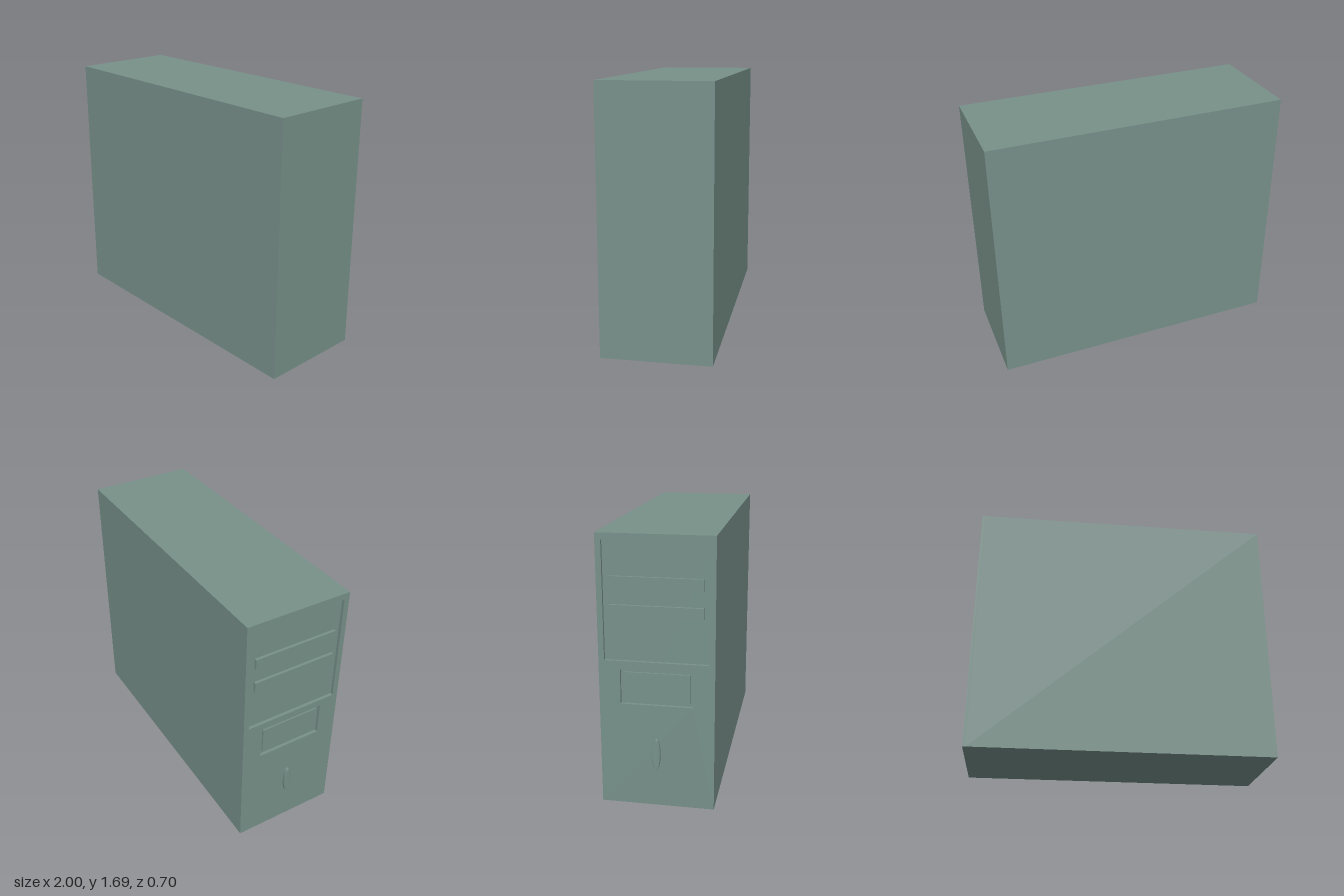
import * as THREE from 'three';

const FLOOR_X = -0.96; // floor of the recesses in the fascia
const FACE_X = -0.98;  // outer surface of the fascia

// Rectangular outline in fascia coordinates (u = z, v = y)
function rect(PathType, u0, u1, v0, v1) {
  const p = new PathType();
  p.moveTo(u0, v0);
  p.lineTo(u1, v0);
  p.lineTo(u1, v1);
  p.lineTo(u0, v1);
  p.closePath();
  return p;
}

export function createModel() {
  const model = new THREE.Group();
  model.name = 'computerTower';
  const casing = new THREE.MeshStandardMaterial({ color: 0x78918a });
  casing.name = 'grey green casing';

  const add = (parent, name, geometry, x, y, z) => {
    const mesh = new THREE.Mesh(geometry, casing);
    mesh.name = name;
    mesh.position.set(x, y, z);
    parent.add(mesh);
    return mesh;
  };

  // Main case behind the fascia
  add(model, 'caseBody', new THREE.BoxGeometry(1 - FLOOR_X, 1.69, 0.7), (1 + FLOOR_X) / 2, 0.845, 0);

  // Fascia group: local x runs along z, local z points outward along -x
  const fascia = new THREE.Group();
  fascia.name = 'fascia';
  fascia.rotation.y = -Math.PI / 2;
  fascia.position.x = FLOOR_X;
  model.add(fascia);

  // Fascia plate with two recessed bays
  const depth = FLOOR_X - FACE_X;
  const plate = rect(THREE.Shape, -0.35, 0.35, 0, 1.69);
  plate.holes.push(
    rect(THREE.Path, -0.315, 0.315, 0.93, 1.65),
    rect(THREE.Path, -0.22, 0.22, 0.66, 0.88),
  );
  add(fascia, 'fasciaPlate', new THREE.ExtrudeGeometry(plate, { depth, bevelEnabled: false }), 0, 0, 0);

  // Two optical drive fronts in the upper bay
  for (const y of [1.405, 1.235]) {
    add(fascia, 'driveFront', new THREE.BoxGeometry(0.56, 0.07, 0.018), 0, y, 0.009);
  }

  // Panel in the lower bay
  add(fascia, 'lowerBayPanel', new THREE.BoxGeometry(0.4, 0.18, 0.012), 0, 0.77, 0.006);

  // Tall oval power button with a softened rim
  const oval = new THREE.Shape();
  oval.absellipse(0, 0, 0.02, 0.096, 0, Math.PI * 2);
  const button = new THREE.ExtrudeGeometry(oval, {
    depth: 0.016, curveSegments: 20, bevelThickness: 0.004, bevelSize: 0.004, bevelSegments: 2,
  });
  add(fascia, 'powerButton', button, -0.003, 0.347, 0.02);

  return model;
}
